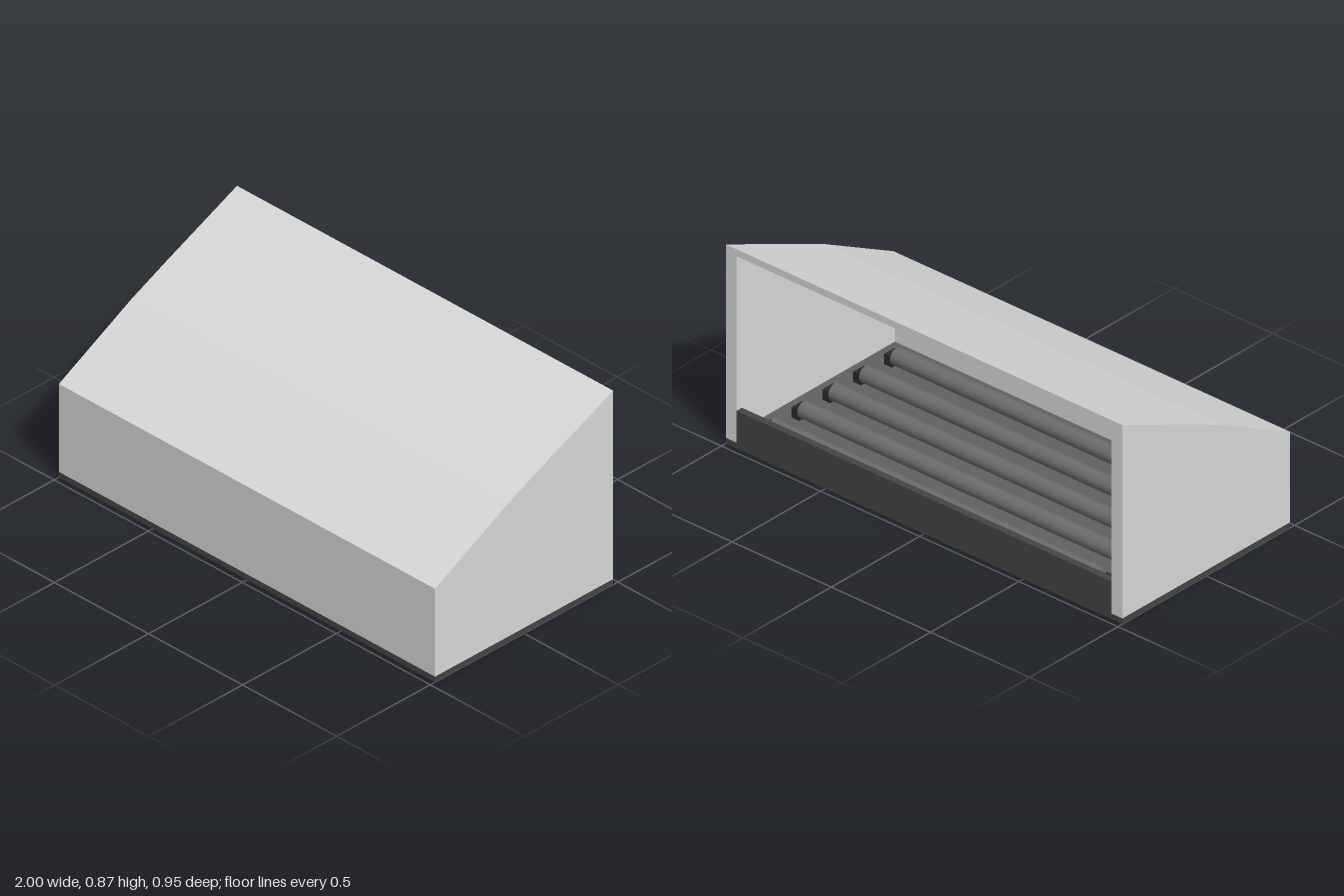
import * as THREE from 'three';

const mat = (name, color) => Object.assign(new THREE.MeshStandardMaterial({ color }), { name });

export function createModel() {
  const shell = mat('lightGreyShell', 0xd8d8d8);
  const dark = mat('darkBase', 0x444446);
  const floorGrey = mat('floorGrey', 0x606060);
  const rollerGrey = mat('rollerGrey', 0x6c6c6c);
  const black = mat('holderBlack', 0x2a2a2a);

  const group = new THREE.Group();
  const add = (name, geometry, material, x = 0, y = 0, z = 0) => {
    const mesh = new THREE.Mesh(geometry, material);
    mesh.name = name;
    mesh.position.set(x, y, z);
    group.add(mesh);
  };
  const box = (name, material, w, y0, y1, z0, z1, x = 0) =>
    add(name, new THREE.BoxGeometry(w, y1 - y0, z1 - z0), material, x, (y0 + y1) / 2, (z0 + z1) / 2);

  // Side profile given as (z, y), extruded along x and centred
  const profile = (points, width) => {
    const shape = new THREE.Shape(points.map(([z, y]) => new THREE.Vector2(z, y)));
    return new THREE.ExtrudeGeometry(shape, { depth: width, bevelEnabled: false })
      .translate(0, 0, -width / 2)
      .rotateY(-Math.PI / 2);
  };

  const wall = 0.055, back = -0.475, front = 0.475, slab = 0.025;
  const inner = 2 - 2 * wall;
  const roof = [[front, 0.42], [0.09, 0.622], [-0.1, 0.708], [back, 0.872]];

  // Side walls
  for (const s of [-1, 1]) {
    add(s > 0 ? 'leftWall' : 'rightWall',
      profile([[back, slab], [front, slab], ...roof], wall), shell, s * (1 - wall / 2));
  }

  // Sloping roof and front wall in one bent sheet, open at the back
  add('roofAndFront', profile([
    [front, slab], ...roof,
    [back, 0.842], [-0.1, 0.678], [0.09, 0.592], [front - wall, 0.419], [front - wall, slab],
  ], inner), shell);

  // Base slab, inner floor and rear lip
  box('baseSlab', dark, 2, 0, slab, back, front);
  box('floor', floorGrey, inner, slab, 0.07, back + 0.03, front - wall);
  box('rearLip', dark, inner, slab, 0.165, back, back + 0.03);

  // Rollers along x with a dark holder at each end
  for (let i = 0; i < 5; i++) {
    const z = 0.3 - i * 0.175;
    add('roller', new THREE.CylinderGeometry(0.036, 0.036, 1.66, 24).rotateZ(Math.PI / 2),
      rollerGrey, 0, 0.106, z);
    for (const s of [-1, 1]) box('rollerHolder', black, 0.04, 0.07, 0.115, z - 0.03, z + 0.03, s * 0.845);
  }
  return group;
}
